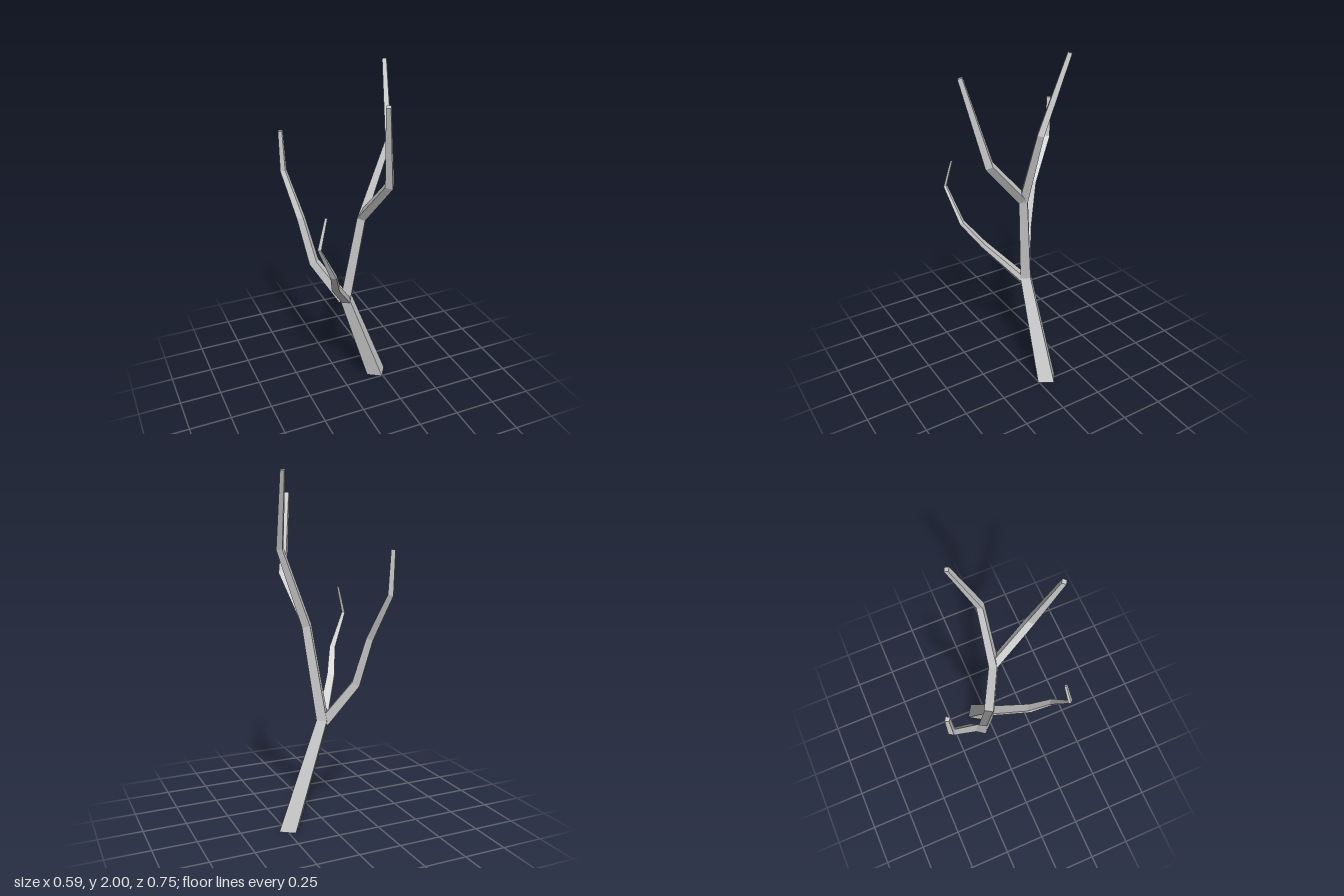
import * as THREE from 'three';

const UP = new THREE.Vector3(0, 1, 0);
const TWIST = 0.2; // turn of the square section about its own axis

// Four corners around a point, square to the direction of growth
function ring(center, dir, radius, squash) {
  const q = new THREE.Quaternion().setFromUnitVectors(UP, dir);
  const side = new THREE.Vector3().crossVectors(UP, dir);
  const thick = new THREE.Vector3().crossVectors(dir, side).normalize();
  return [0, 1, 2, 3].map((k) => {
    const a = TWIST + (k * Math.PI) / 2;
    const p = new THREE.Vector3(Math.cos(a), 0, -Math.sin(a)).multiplyScalar(radius).applyQuaternion(q);
    p.addScaledVector(thick, (squash - 1) * p.dot(thick)); // flatten the limb
    return p.add(center);
  });
}

// Four-sided tapered limb; each step is [x, y, z, half diagonal]
function limb(name, steps, material, { squash = 1, flatStart = false } = {}) {
  const pts = steps.map(([x, y, z]) => new THREE.Vector3(x, y, z));
  const segs = pts.slice(1).map((p, i) => p.clone().sub(pts[i]).normalize());
  const rings = pts.map((p, i) => {
    const before = segs[Math.max(i - 1, 0)];
    const after = segs[Math.min(i, segs.length - 1)];
    const dir = i === 0 && flatStart ? UP : before.clone().add(after).normalize();
    return ring(p, dir, steps[i][3], squash);
  });

  const pos = [];
  const quad = (a, b, c, d) => [a, b, c, a, c, d].forEach((v) => pos.push(v.x, v.y, v.z));
  for (let i = 0; i < rings.length - 1; i++) {
    for (let j = 0; j < 4; j++) {
      const k = (j + 1) % 4;
      quad(rings[i][j], rings[i][k], rings[i + 1][k], rings[i + 1][j]);
    }
  }
  quad(...rings[0].slice().reverse());
  quad(...rings[rings.length - 1]);

  const geometry = new THREE.BufferGeometry();
  geometry.setAttribute('position', new THREE.Float32BufferAttribute(pos, 3));
  geometry.computeVertexNormals();
  const mesh = new THREE.Mesh(geometry, material);
  mesh.name = name;
  return mesh;
}

export function createModel() {
  const bark = new THREE.MeshStandardMaterial({ color: 0xcccccc, flatShading: true });
  const tree = new THREE.Group();
  tree.name = 'bareTree';

  tree.add(
    // Leaning trunk, carried on into the tallest branch
    limb('trunk', [
      [0.228, 0, -0.062, 0.068],
      [0.013, 0.62, -0.046, 0.042],
      [0.082, 1.16, 0.015, 0.033],
      [0.238, 1.59, 0.012, 0.024],
      [0.271, 1.995, -0.127, 0.016],
    ], bark, { flatStart: true }),

    // Upper branch reaching forward
    limb('upperFrontBranch', [
      [0.082, 1.165, 0.015, 0.032],
      [0.13, 1.435, 0.25, 0.029],
      [0.056, 1.89, 0.36, 0.017],
    ], bark),

    // Lower branch reaching back
    limb('lowerBackBranch', [
      [0.0, 0.615, -0.052, 0.038],
      [-0.145, 0.845, -0.155, 0.033],
      [-0.193, 1.11, -0.222, 0.027],
      [-0.243, 1.36, -0.352, 0.021],
      [-0.248, 1.595, -0.361, 0.016],
    ], bark),

    // Lower branch reaching forward, thinner from top to bottom
    limb('lowerFrontBranch', [
      [0.005, 0.615, -0.03, 0.038],
      [-0.133, 0.825, 0.152, 0.031],
      [-0.19, 0.97, 0.257, 0.024],
      [-0.286, 1.175, 0.305, 0.015],
      [-0.239, 1.335, 0.284, 0.011],
    ], bark, { squash: 0.6 }),
  );
  return tree;
}
